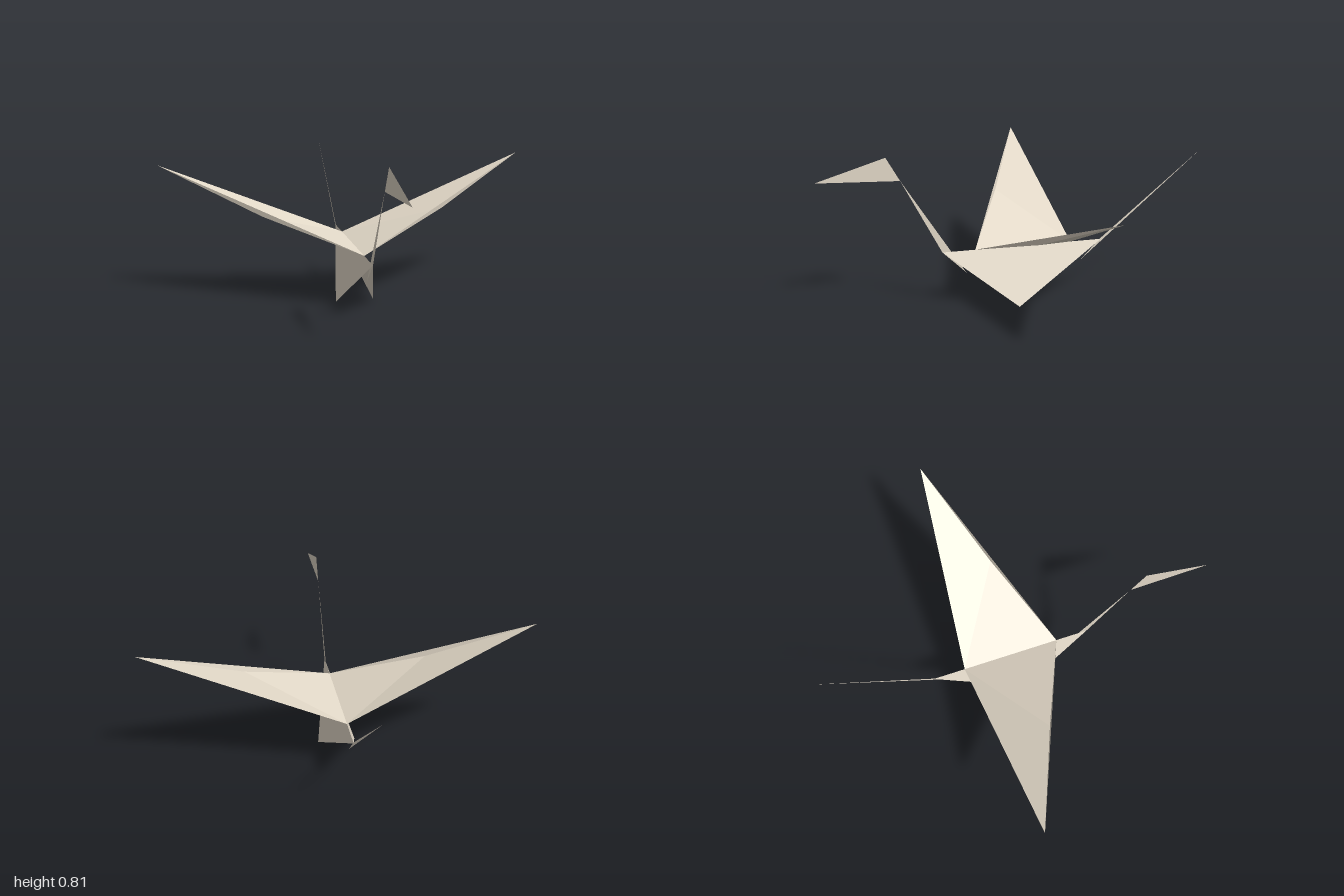
import * as THREE from 'three';

// Folded paper bird: every part is a few flat facets of thin sheet.
export function createModel() {
  const bird = new THREE.Group();
  bird.name = 'paperBird';

  const paper = new THREE.MeshStandardMaterial({ color: 0xe6dccb, side: THREE.DoubleSide });
  paper.name = 'cream paper';

  // Builds one part from a list of triangles, each made of three [x, y, z] corners.
  function facets(name, triangles) {
    const geometry = new THREE.BufferGeometry();
    geometry.setAttribute('position', new THREE.Float32BufferAttribute(triangles.flat(2), 3));
    geometry.computeVertexNormals();
    const mesh = new THREE.Mesh(geometry, paper);
    mesh.name = name;
    bird.add(mesh);
  }

  // Ridge corners shared by the body, neck and tail
  const chest = [0, 0.3, 0.4];
  const rump = [0, 0.3, -0.45];

  for (const [side, s] of [['left', 1], ['right', -1]]) {
    // Mirrors a triangle and swaps two corners so it keeps facing outward
    const mirror = ([a, b, c]) => {
      const flip = ([x, y, z]) => [x * s, y, z];
      return s > 0 ? [a, b, c] : [flip(a), flip(c), flip(b)];
    };

    // Body side, flaring outward to a low point
    facets(side + 'BodySide', [mirror([chest, [0.1, 0, 0.02], rump])]);

    // Wing: inner and outer panels, with a narrow lip folded up along the front
    const front = [0, 0.3, 0.23];
    const back = [0, 0.3, -0.28];
    const bend = [0.47, 0.475, 0.02];
    const tip = [0.97, 0.72, -0.19];
    facets(side + 'Wing', [mirror([front, bend, back]), mirror([bend, tip, back])]);
    facets(side + 'WingLip', [mirror([front, tip, bend]).reverse()]);
  }

  // Neck, tucked between the body sides
  const throat = [0, 0.69, 0.595];
  facets('neck', [[throat, chest, [0, 0.18, 0.28]]]);

  // Head folded forward
  facets('head', [[[0, 0.705, 1], throat, [0, 0.81, 0.66]]]);

  // Thin tail
  facets('tail', [[[0, 0.765, -1], [0, 0.3, -0.442], [0, 0.19, -0.337]]]);

  return bird;
}
